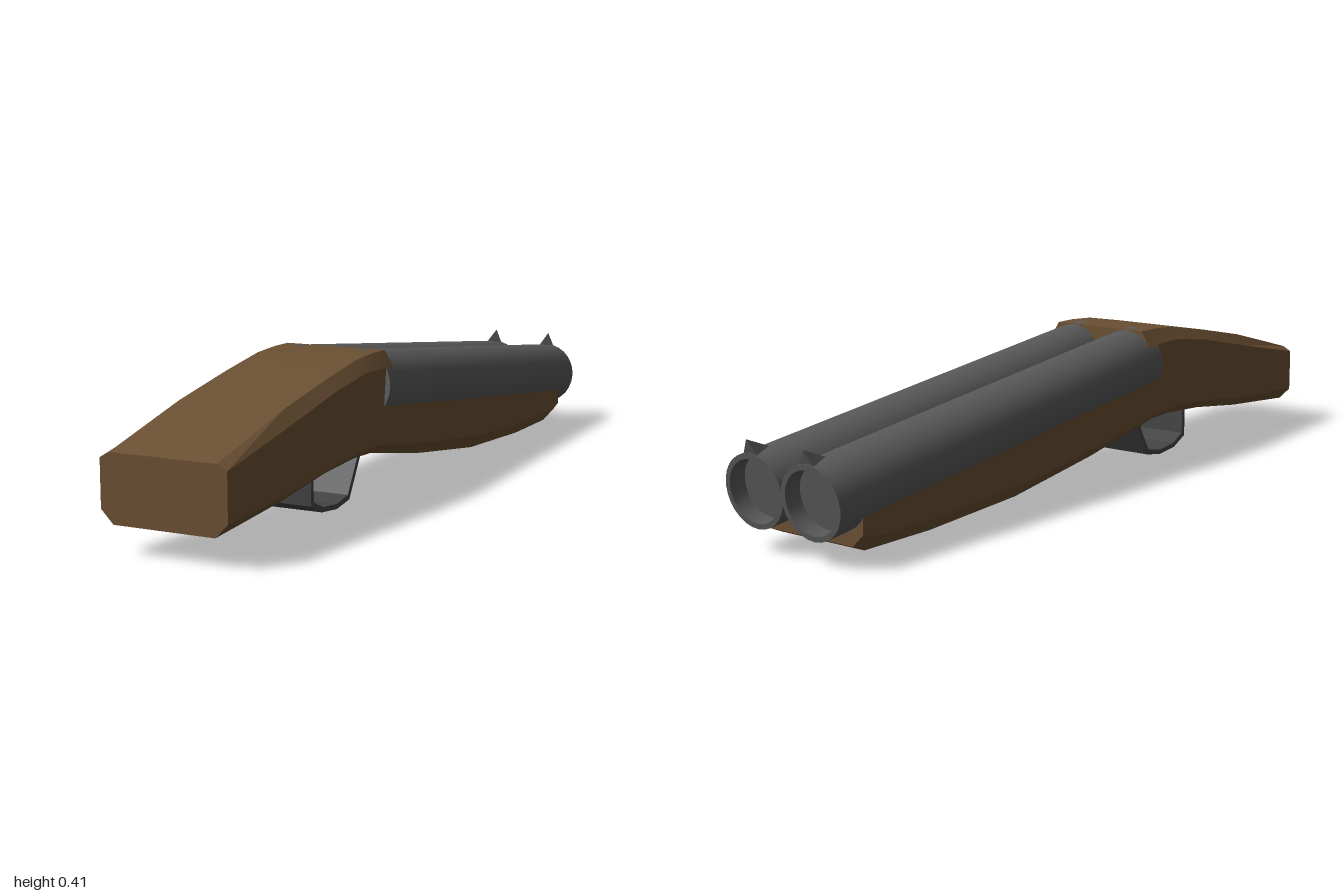
import * as THREE from 'three';
import { toCreasedNormals } from 'three/addons/utils/BufferGeometryUtils.js';

const wood = new THREE.MeshStandardMaterial({ color: 0x6b5033 });
const steel = new THREE.MeshStandardMaterial({ color: 0x585858 });
const darkSteel = new THREE.MeshStandardMaterial({ color: 0x444444 });

function add(parent, name, geometry, material) {
  const mesh = new THREE.Mesh(geometry, material);
  mesh.name = name;
  parent.add(mesh);
  return mesh;
}

// Skin a row of rings (same point count, counter-clockwise seen from +x) and cap both ends
function loft(rings) {
  const n = rings[0].length, index = [];
  const last = (rings.length - 1) * n;
  for (let i = 0; i < rings.length - 1; i++) {
    for (let j = 0; j < n; j++) {
      const a = i * n + j, b = i * n + (j + 1) % n;
      index.push(a, b, a + n, b, b + n, a + n);
    }
  }
  for (let j = 1; j < n - 1; j++) {
    index.push(0, j + 1, j, last, last + j, last + j + 1);
  }
  const g = new THREE.BufferGeometry();
  g.setAttribute('position', new THREE.Float32BufferAttribute(rings.flat(2), 3));
  g.setIndex(index);
  return toCreasedNormals(g, 0.35);
}

// Chamfered cross-section of the wood at distance x
function woodRing([x, top, sideTop, sideBottom, bottom, half = 0.177]) {
  const t = half - 0.027, b = half - 0.035;
  return [
    [x, sideBottom, -half], [x, sideTop, -half], [x, top, -t], [x, top, t],
    [x, sideTop, half], [x, sideBottom, half], [x, bottom, b], [x, bottom, -b],
  ];
}

export function createModel() {
  const model = new THREE.Group();
  model.name = 'shotgun';
  const gun = new THREE.Group();
  gun.name = 'gunBody';
  gun.rotation.y = 0.588;
  model.add(gun);

  // Grip and fore-end: x, top, side top, side bottom, bottom
  const sections = [
    [-1.08, 0.25, 0.235, 0.11, 0.075],
    [-0.78, 0.328, 0.295, 0.13, 0.1],
    [-0.56, 0.372, 0.342, 0.155, 0.128],
    [-0.4, 0.4, 0.366, 0.165, 0.138],
    [-0.31, 0.406, 0.366, 0.16, 0.135],
    [-0.24, 0.406, 0.36, 0.15, 0.122],
    [-0.24, 0.28, 0.28, 0.15, 0.122],
    [0, 0.253, 0.253, 0.115, 0.08],
    [0.35, 0.213, 0.213, 0.075, 0.034],
    [0.7, 0.173, 0.173, 0.06, 0.019],
    [0.94, 0.145, 0.145, 0.062, 0.022],
    [0.98, 0.14, 0.14, 0.075, 0.04],
  ];
  add(gun, 'stock', loft(sections.map(woodRing)), wood);

  // Twin barrels with recessed bores, pitched slightly down
  const length = 1.37, r = 0.097;
  const barrels = new THREE.Group();
  barrels.name = 'barrels';
  barrels.position.set(-0.29, 0.313, 0);
  barrels.rotation.z = -0.113;
  gun.add(barrels);
  const profile = [[0, 0], [r, 0], [r, length], [0.083, length], [0.083, length - 0.05], [0, length - 0.05]]
    .map(([x, y]) => new THREE.Vector2(x, y));
  const barrelGeometry = toCreasedNormals(new THREE.LatheGeometry(profile, 28), 0.6);
  barrelGeometry.rotateZ(-Math.PI / 2);

  // Bead sight: a small pyramid with its tip leaning forward
  const sightGeometry = loft([
    [[length - 0.07, r - 0.01, -0.006], [length - 0.07, r - 0.002, 0], [length - 0.07, r - 0.01, 0.006]],
    [[length - 0.005, r - 0.012, -0.028], [length + 0.004, r + 0.038, 0], [length - 0.005, r - 0.012, 0.028]],
  ]);
  for (const [side, z] of [['left', 0.095], ['right', -0.095]]) {
    add(barrels, side + 'Barrel', barrelGeometry, steel).position.z = z;
    add(barrels, side + 'Sight', sightGeometry, steel).position.z = z;
  }

  // Wide trigger guard band: outer path out, inner path back
  const guard = new THREE.Shape([
    [-0.56, 0.16], [-0.557, 0.035], [-0.5, 0.008], [-0.42, 0], [-0.35, 0.012], [-0.275, 0.14],
    [-0.292, 0.14], [-0.358, 0.026], [-0.42, 0.014], [-0.495, 0.021], [-0.543, 0.044], [-0.546, 0.16],
  ].map(p => new THREE.Vector2(...p)));
  const guardGeometry = new THREE.ExtrudeGeometry(guard, { depth: 0.2, bevelEnabled: false });
  add(gun, 'triggerGuard', guardGeometry.translate(0, 0, -0.1), darkSteel);

  // Hooked trigger
  const trigger = new THREE.Shape([
    [-0.46, 0.16], [-0.455, 0.1], [-0.425, 0.05], [-0.41, 0.055], [-0.428, 0.1], [-0.42, 0.16],
  ].map(p => new THREE.Vector2(...p)));
  const triggerGeometry = new THREE.ExtrudeGeometry(trigger, { depth: 0.04, bevelEnabled: false });
  add(gun, 'trigger', triggerGeometry.translate(0, 0, -0.02), steel);

  return model;
}
